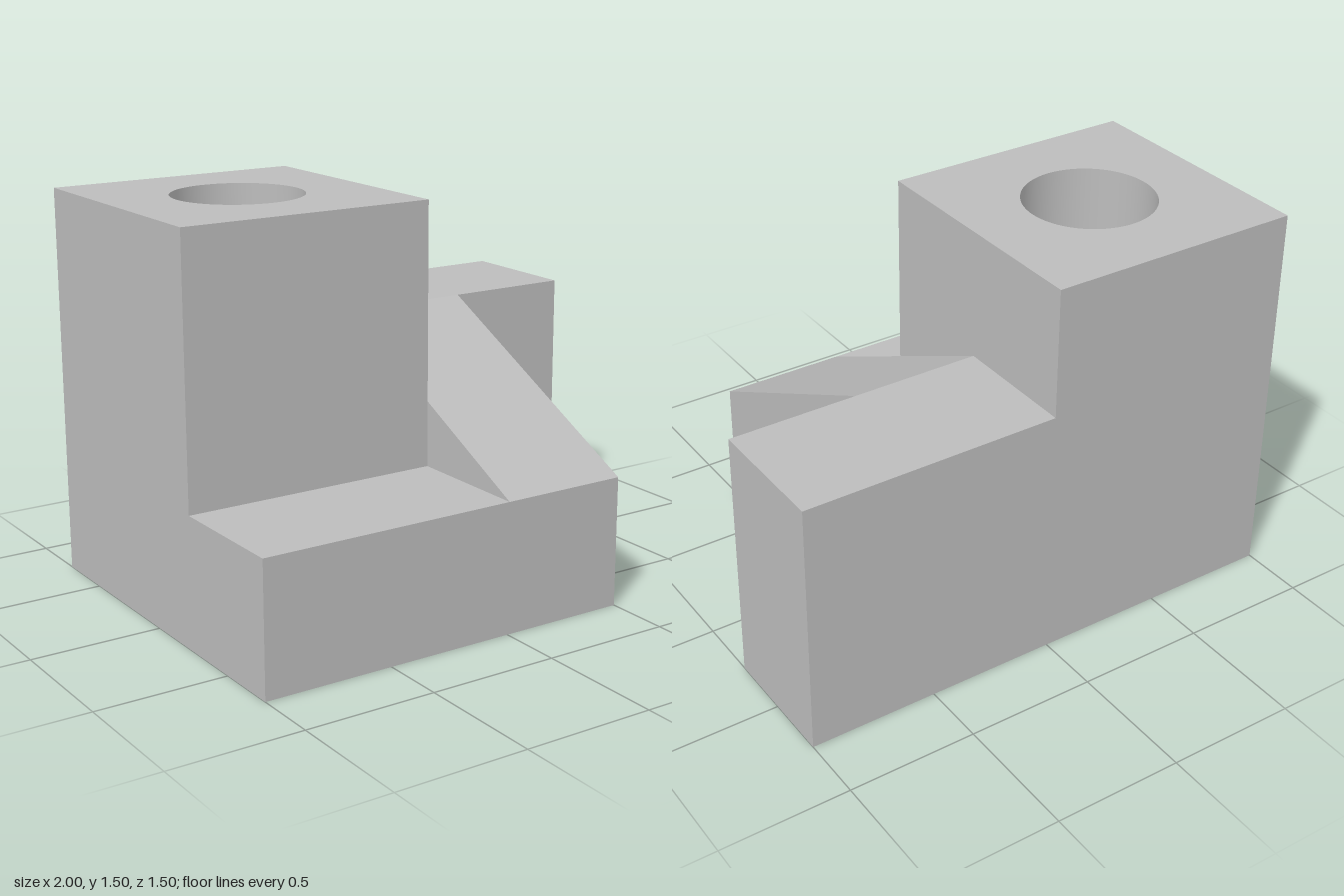
import * as THREE from 'three';
import { toCreasedNormals } from 'three/addons/utils/BufferGeometryUtils.js';

const grey = new THREE.MeshStandardMaterial({ color: 0xbcbcbc });
grey.name = 'machined grey';

function addPart(group, name, geometry) {
  const mesh = new THREE.Mesh(geometry, grey);
  mesh.name = name;
  group.add(mesh);
}

// Box given by its lower and upper corners
function boxBetween([x0, y0, z0], [x1, y1, z1]) {
  return new THREE.BoxGeometry(x1 - x0, y1 - y0, z1 - z0)
    .translate((x0 + x1) / 2, (y0 + y1) / 2, (z0 + z1) / 2);
}

function polygon(points) {
  return new THREE.Shape(points.map(([x, y]) => new THREE.Vector2(x, y)));
}

export function createModel() {
  const group = new THREE.Group();
  group.name = 'machinedBlock';

  // Tall square tower with a round bore right through it (plan drawn as x, -z)
  const plan = polygon([[-1, -0.25], [0, -0.25], [0, 0.75], [-1, 0.75]]);
  const bore = new THREE.Path();
  bore.absarc(-0.5, 0.25, 0.25, 0, Math.PI * 2, true);
  plan.holes.push(bore);
  const tower = new THREE.ExtrudeGeometry(plan, { depth: 1.5, bevelEnabled: false, curveSegments: 48 });
  tower.rotateX(-Math.PI / 2);
  addPart(group, 'boredTower', toCreasedNormals(tower, 0.5));

  // Low step in front of the tower
  addPart(group, 'frontStep', boxBetween([-1, 0, 0.25], [0, 0.5, 0.75]));

  // Sloping rib beside the tower (profile drawn as z, y)
  const profile = polygon([[-0.75, 0], [0.75, 0], [0.75, 0.5], [-0.25, 1], [-0.75, 1]]);
  const rib = new THREE.ExtrudeGeometry(profile, { depth: 0.5, bevelEnabled: false });
  rib.rotateY(-Math.PI / 2).translate(0.5, 0, 0);
  addPart(group, 'slopingRib', rib);

  // Block at the rear corner
  addPart(group, 'rearBlock', boxBetween([0.5, 0, -0.75], [1, 1, -0.25]));

  return group;
}
